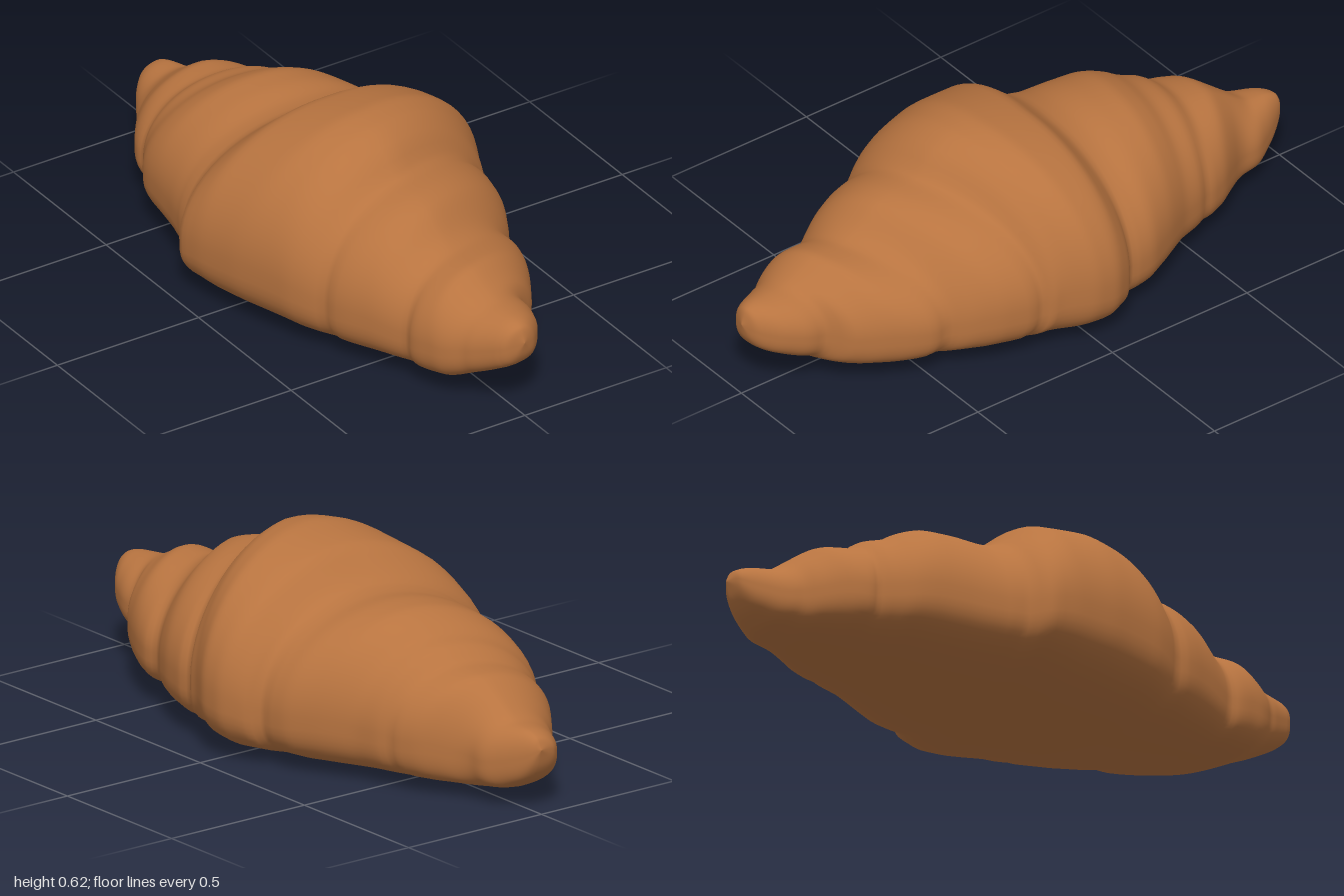
import * as THREE from 'three';

// Silhouette profiles along the length, as flat [z, value] pairs from the back tip to the front tip
const TOP = [-1, .2, -.985, .235, -.95, .25, -.87, .258, -.8, .31, -.73, .36, -.62, .372, -.58, .41, -.5, .43, -.47, .455,
  -.4, .487, -.3, .49, -.22, .48, -.15, .49, -.1, .535, -.05, .585, .03, .602, .13, .62, .22, .605, .29, .56, .34, .492,
  .44, .485, .5, .467, .57, .4, .62, .375, .73, .383, .8, .34, .85, .32, .95, .312, .985, .3, 1, .25];
const BOTTOM = [-1, .2, -.985, .14, -.96, .1, -.9, .06, -.8, .04, -.5, .022, 0, 0, .3, .012, .5, .03, .7, .048, .77, .06,
  .9, .125, .97, .165, .99, .2, 1, .25];
const RIGHT = [-1, 0, -.985, .025, -.93, .06, -.85, .105, -.76, .12, -.65, .2, -.55, .24, -.45, .27, -.35, .33, -.25, .38,
  -.17, .39, -.11, .435, -.05, .47, .03, .47, .12, .425, .2, .41, .32, .38, .4, .34, .45, .305, .48, .32, .58, .285,
  .65, .25, .75, .19, .78, .14, .85, .13, .92, .1, .98, .05, 1, 0];
const LEFT = [-1, 0, -.99, .06, -.95, .1, -.87, .15, -.77, .22, -.7, .27, -.6, .3, -.55, .34, -.5, .355, -.35, .38, -.25, .405,
  -.18, .45, -.15, .475, -.05, .47, .1, .44, .3, .38, .37, .34, .48, .3, .58, .25, .65, .21, .72, .205, .8, .18,
  .9, .11, .98, .06, 1, 0];
// How the rolled layers slant: z reached on each side by the ring that crosses the ridge at s
const SLANT_RIGHT = [-1, -1, -.82, -.77, -.5, -.46, -.15, -.14, .34, .17, .6, .46, .83, .77, 1, 1];
const SLANT_LEFT = [-1, -1, -.82, -.81, -.5, -.56, -.15, -.19, .34, .39, .6, .66, .83, .85, 1, 1];
// Seams between the rolled layers
const SEAMS = [-.84, -.6, -.16, .35, .61, .84];

function sample(table, z) {
  let i = 0;
  while (i < table.length - 4 && z > table[i + 2]) i += 2;
  const t = THREE.MathUtils.clamp((z - table[i]) / (table[i + 2] - table[i]), 0, 1);
  return table[i + 1] + t * (table[i + 3] - table[i + 1]);
}

// Averaged over a small window that shrinks toward the tips
function smooth(table, z) {
  const w = Math.min(.022, (1 - Math.abs(z)) * .6);
  let sum = 0;
  for (let k = -2; k <= 2; k++) sum += sample(table, z + k * w / 2) * (3 - Math.abs(k));
  return sum / 9;
}

function pastryGeometry(rings = 160, sides = 64) {
  const positions = [], index = [];
  for (let i = 0; i <= rings; i++) {
    const s = i === 0 ? -1 : i === rings ? 1 : Math.sin((i / rings - .5) * Math.PI);
    const top = smooth(TOP, s), bottom = smooth(BOTTOM, s);
    const middle = bottom + (top - bottom) * (.36 + .12 * s * s);
    const seam = SEAMS.reduce((a, c) => a + Math.exp(-(((s - c) / .022) ** 2)), 0);
    for (let j = 0; j < sides; j++) {
      const angle = j / sides * Math.PI * 2, c = Math.cos(angle), n = Math.sin(angle);
      // Domed top, squarer and flatter underside
      const power = n < 0 ? 2 / 3.2 : 1;
      const cx = Math.sign(c) * Math.abs(c) ** power, cy = Math.sign(n) * Math.abs(n) ** power;
      const zSide = smooth(c > 0 ? SLANT_RIGHT : SLANT_LEFT, s);
      const z = s + (zSide - s) * Math.abs(cx);
      const width = smooth(c > 0 ? RIGHT : LEFT, zSide);
      const pinch = 1 - .045 * seam * Math.abs(c);
      positions.push(cx * width * pinch, middle + cy * (n > 0 ? top - middle : middle - bottom), z);
      if (i < rings) {
        const a = i * sides + j, b = i * sides + (j + 1) % sides;
        index.push(a, b, a + sides, b, b + sides, a + sides);
      }
    }
  }
  const geometry = new THREE.BufferGeometry();
  geometry.setAttribute('position', new THREE.Float32BufferAttribute(positions, 3));
  geometry.setIndex(index);
  geometry.computeVertexNormals();
  return geometry;
}

export function createModel() {
  const group = new THREE.Group();
  group.name = 'croissant';
  const crust = new THREE.MeshStandardMaterial({ color: 0xb87440 });
  crust.name = 'golden brown crust';
  const pastry = new THREE.Mesh(pastryGeometry(), crust);
  pastry.name = 'rolledPastry';
  group.add(pastry);
  return group;
}
